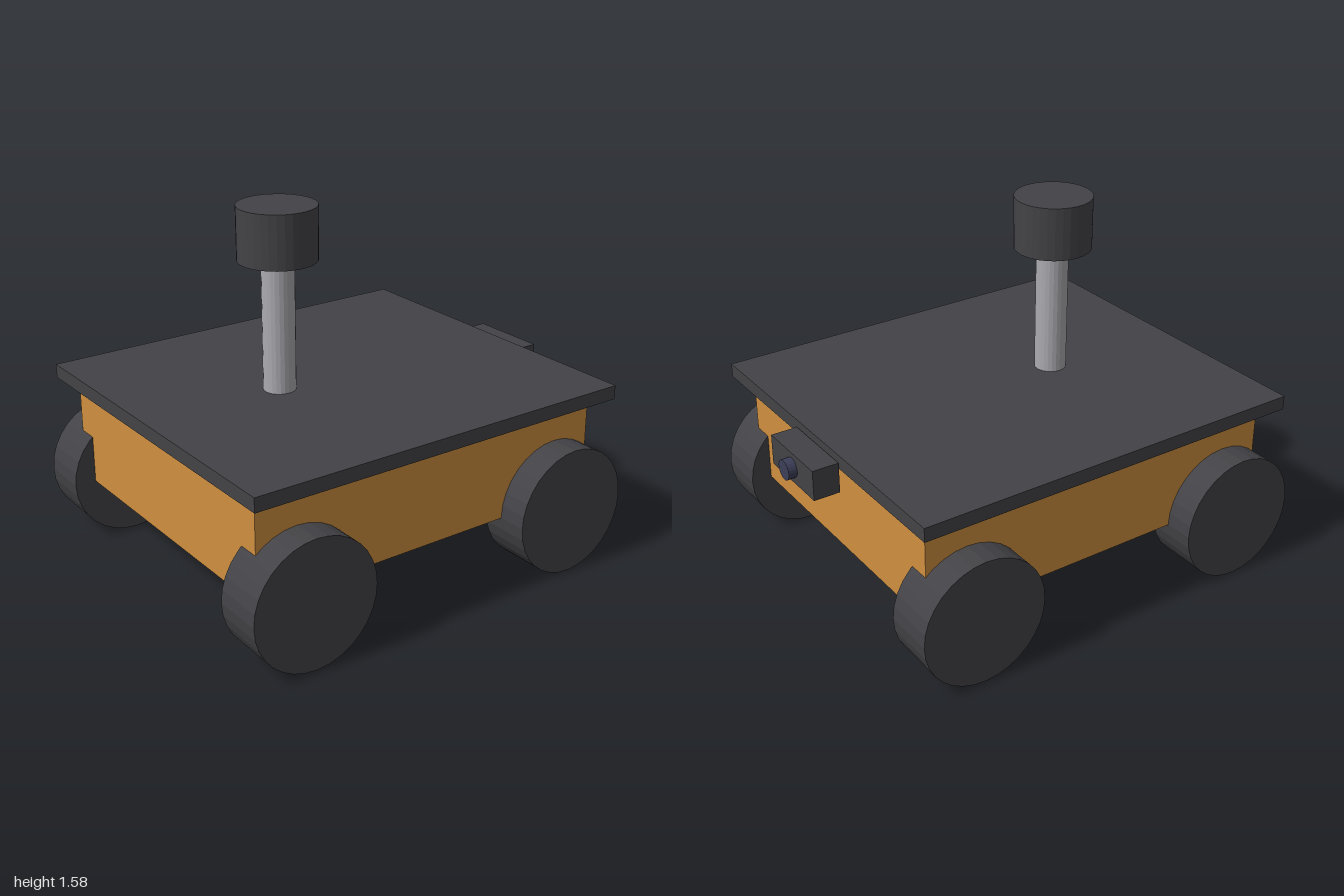
import * as THREE from 'three';

const paint = (color) => new THREE.MeshStandardMaterial({ color, flatShading: true });

export function createModel() {
  const model = new THREE.Group();
  const dark = paint(0x434347);
  const orange = paint(0xd09040);
  const silver = paint(0xaaaab0);
  const glass = paint(0x3c3f58);

  const add = (name, geometry, material, x, y, z) => {
    const mesh = new THREE.Mesh(geometry, material);
    mesh.name = name;
    mesh.position.set(x, y, z);
    model.add(mesh);
    return mesh;
  };

  // Box given by its x and y limits, centred on z = 0
  const box = (name, material, x0, x1, y0, y1, depth) =>
    add(name, new THREE.BoxGeometry(x1 - x0, y1 - y0, depth), material, (x0 + x1) / 2, (y0 + y1) / 2, 0);

  // Upright cylinder between two heights
  const post = (name, material, x, radius, y0, y1, sides) =>
    add(name, new THREE.CylinderGeometry(radius, radius, y1 - y0, sides), material, x, (y0 + y1) / 2, 0);

  // Chassis and deck plate
  box('body', orange, -0.905, 0.78, 0.28, 0.725, 1.415);
  box('deck', dark, -0.965, 0.84, 0.725, 0.787, 1.61);

  // Sensor mast and head
  post('mast', silver, -0.323, 0.07, 0.787, 1.35, 24);
  post('sensorHead', dark, -0.323, 0.168, 1.35, 1.58, 32);

  // Camera at the +x end, with its lens
  box('cameraHousing', dark, 0.845, 0.962, 0.622, 0.757, 0.354);
  const lens = add('cameraLens', new THREE.CylinderGeometry(0.044, 0.044, 0.08, 20), glass, 0.96, 0.69, 0);
  lens.rotation.z = -Math.PI / 2;

  // Four wheels, axles along z
  const wheel = new THREE.CylinderGeometry(0.281, 0.281, 0.226, 32).rotateX(Math.PI / 2);
  for (const [end, x] of [['rear', -0.72], ['front', 0.592]]) {
    for (const [side, z] of [['Near', 0.725], ['Far', -0.725]]) {
      add(`${end}${side}Wheel`, wheel, dark, x, 0.282, z);
    }
  }

  return model;
}
